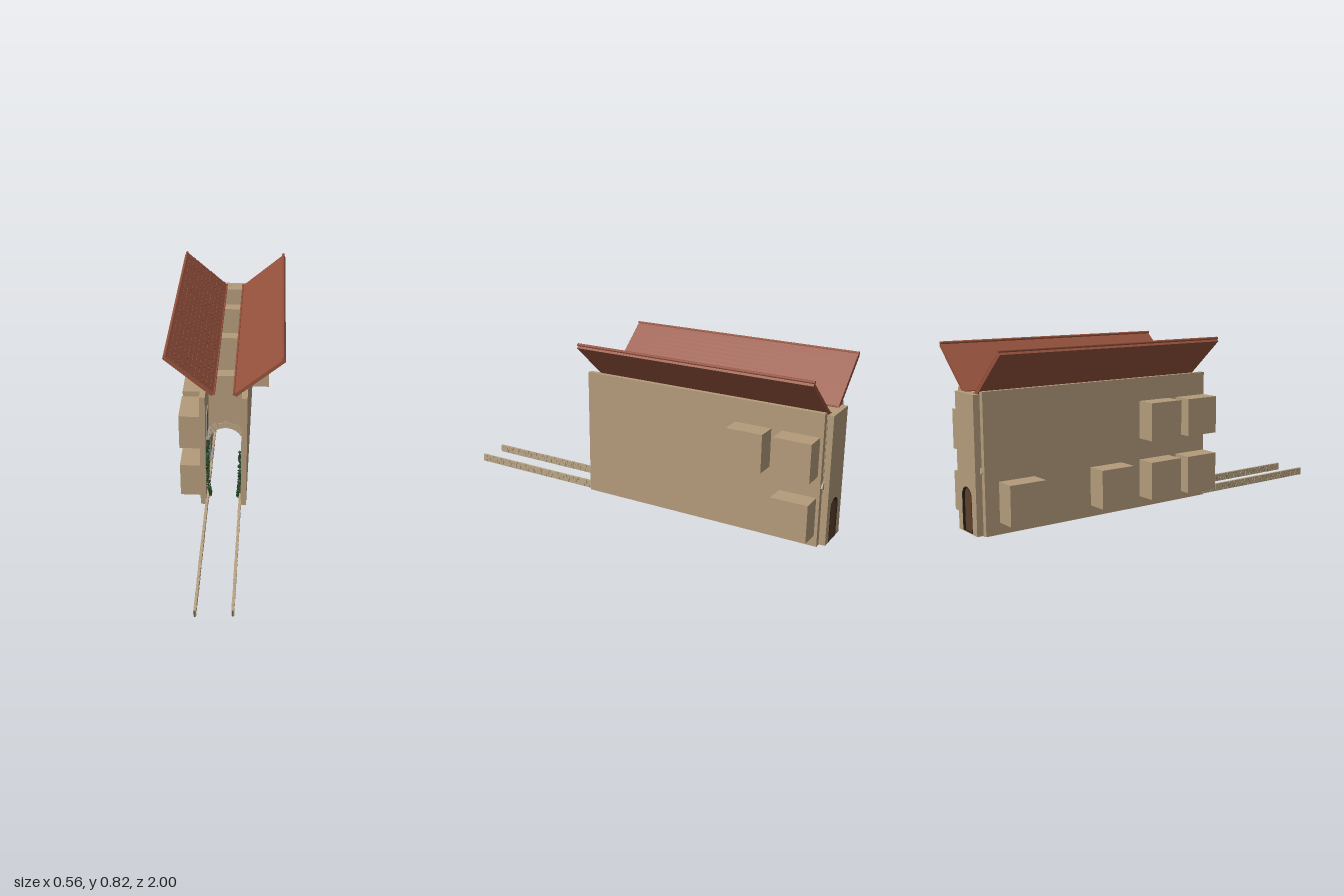
import * as THREE from 'three';
import { mergeGeometries } from 'three/addons/utils/BufferGeometryUtils.js';

const mat = (name, color, side = THREE.FrontSide) => {
  const m = new THREE.MeshStandardMaterial({ color, side });
  m.name = name;
  return m;
};

let seed = 7;
const rand = () => (seed = (seed * 16807) % 2147483647) / 2147483647;

// Box geometry already moved to its place
const boxGeo = (w, h, d, x, y, z) => new THREE.BoxGeometry(w, h, d).translate(x, y, z);

function add(parent, name, geometry, material) {
  const m = new THREE.Mesh(geometry, material);
  m.name = name;
  parent.add(m);
  return m;
}

// Round-headed outline used by the door and its opening
function archOutline(path, r, bottom, spring) {
  path.moveTo(-r, bottom);
  path.lineTo(r, bottom);
  path.lineTo(r, spring);
  path.absarc(0, spring, r, 0, Math.PI, false);
  path.lineTo(-r, bottom);
  return path;
}
const extrude = (shape, depth, z) =>
  new THREE.ExtrudeGeometry(shape, { depth, bevelEnabled: false, curveSegments: 20 }).translate(0, 0, z);

export function createModel() {
  const root = new THREE.Group();
  root.name = 'alley';
  const M = {
    plaster: mat('plaster', 0xb39b7a),
    stone: mat('stone', 0xb9a586),
    mortar: mat('mortar', 0x6b5d49),
    roof: mat('roofTile', 0x96523d),
    gap: mat('tileGap', 0x4a241b),
    wood: mat('doorWood', 0x5e3f2b),
    iron: mat('darkIron', 0x2e2219),
    trim: mat('windowTrim', 0x9b958d),
    glass: mat('paleGlass', 0xcfc9ba),
    leaf: mat('ivyLeaf', 0x1d3d1f, THREE.DoubleSide),
  };

  // Long side walls
  for (const s of [-1, 1])
    add(root, s < 0 ? 'rightWall' : 'leftWall', boxGeo(0.027, 0.625, 1.22, s * 0.0985, 0.3175, -0.36), M.plaster);

  // Window recess boxes outside, windows inside: [side, box centre z, box bottom y]
  const bays = [
    [1, -0.64, 0.34], [1, -0.867, 0.34], [1, -0.867, 0.058],
    [-1, -0.815, 0.058], [-1, -0.345, 0.058], [-1, -0.063, 0.058], [-1, 0.158, 0.058],
    [-1, -0.063, 0.34], [-1, 0.158, 0.34],
  ];
  for (const [s, z, y0] of bays) {
    const bay = new THREE.Group();
    bay.name = 'windowBay';
    root.add(bay);
    const y = y0 + 0.09;
    add(bay, 'bayBox', boxGeo(0.1, 0.18, 0.176, s * 0.16, y, z), M.plaster);
    const x = s * 0.084;
    add(bay, 'pane', boxGeo(0.003, 0.12, 0.066, x, y + 0.005, z), M.glass);
    add(bay, 'surround', mergeGeometries([
      boxGeo(0.008, 0.13, 0.01, x, y + 0.005, z - 0.038),
      boxGeo(0.008, 0.13, 0.01, x, y + 0.005, z + 0.038),
      boxGeo(0.008, 0.012, 0.086, x, y + 0.068, z),
      boxGeo(0.02, 0.009, 0.1, s * 0.08, y - 0.062, z),
    ]), M.trim);
    const bars = [boxGeo(0.006, 0.12, 0.006, x, y + 0.005, z)];
    for (const e of [-1, 1]) bars.push(boxGeo(0.006, 0.12, 0.006, x, y + 0.005, z + e * 0.03));
    for (const h of [-0.052, -0.016, 0.024, 0.06]) bars.push(boxGeo(0.006, 0.005, 0.066, x, y + h, z));
    add(bay, 'glazingBars', mergeGeometries(bars), M.wood);
  }

  // Back wall with a round-headed doorway
  const wall = new THREE.Shape();
  wall.moveTo(-0.087, 0.005);
  wall.lineTo(0.083, 0.005);
  wall.lineTo(0.083, 0.617);
  wall.lineTo(-0.087, 0.617);
  wall.holes.push(archOutline(new THREE.Path(), 0.045, 0.008, 0.164));
  add(root, 'backWall', extrude(wall, 0.032, -1), M.plaster);

  // Door: frame, planks, straps
  const door = new THREE.Group();
  door.name = 'door';
  root.add(door);
  const frame = archOutline(new THREE.Shape(), 0.046, 0.008, 0.164);
  frame.holes.push(archOutline(new THREE.Path(), 0.04, 0.009, 0.164));
  add(door, 'doorFrame', extrude(frame, 0.036, -1.0), M.iron);
  add(door, 'doorPanel', extrude(archOutline(new THREE.Shape(), 0.041, 0.008, 0.164), 0.012, -0.99), M.wood);
  const seams = [];
  for (const x of [-0.025, -0.009, 0.009, 0.025]) {
    const top = 0.164 + Math.sqrt(0.04 ** 2 - x * x);
    seams.push(boxGeo(0.003, top - 0.01, 0.004, x, (top + 0.01) / 2, -0.978));
  }
  for (const y of [0.05, 0.14]) seams.push(boxGeo(0.08, 0.004, 0.006, 0, y, -0.977));
  add(door, 'doorSeamsAndStraps', mergeGeometries(seams), M.iron);

  // Cross arches spanning the alley, with stone rings
  const span = new THREE.Shape();
  span.moveTo(-0.086, 0.615);
  span.lineTo(-0.086, 0.23);
  span.absarc(0, 0.23, 0.086, Math.PI, 0, true);
  span.lineTo(0.086, 0.615);
  const count = 9, a0 = 0.45, step = (Math.PI - 2 * a0) / count;
  for (const z of [-0.945, -0.7, -0.375, 0]) {
    const arch = new THREE.Group();
    arch.name = 'crossArch';
    root.add(arch);
    add(arch, 'archWall', extrude(span, 0.056, z - 0.028), M.plaster);
    const stones = [];
    for (let i = 0; i < count; i++) {
      const a = a0 + i * step + 0.02, b = a + step - 0.04;
      const r = i % 2 ? 0.114 : 0.12, v = new THREE.Shape();
      v.absarc(0, 0.23, r, a, b, false);
      v.absarc(0, 0.23, 0.084, b, a, true);
      stones.push(extrude(v, 0.064, z - 0.032));
    }
    add(arch, 'archStones', mergeGeometries(stones), M.stone);
  }

  // Roof slopes rising outwards from the gap
  const slope = Math.atan2(0.195, 0.225), len = 0.295, zc = -0.39, depth = 1.165;
  for (const s of [-1, 1]) {
    const roof = new THREE.Group();
    roof.name = s < 0 ? 'rightRoof' : 'leftRoof';
    roof.position.set(s * 0.164, 0.706, zc);
    roof.rotation.z = s * slope;
    root.add(roof);
    add(roof, 'roofSlab', boxGeo(len, 0.017, depth, 0, 0, 0), M.roof);
    const rolls = [];
    for (const [e, r, y] of [[1, 0.007, 0.01], [-1, 0.005, 0.01]])
      rolls.push(new THREE.CylinderGeometry(r, r, depth + 0.005, 10).rotateX(Math.PI / 2).translate(s * e * len / 2, y, 0));
    add(roof, 'edgeRolls', mergeGeometries(rolls), M.roof);
    if (s > 0) continue;
    // Overlapping tile rows with dark joints
    const rows = [], gaps = [];
    for (let i = 0; i < 12; i++) {
      const x = -len / 2 + (i + 0.5) * len / 12;
      rows.push(new THREE.BoxGeometry(len / 12 + 0.004, 0.004, depth).rotateZ(-0.12).translate(x, 0.0105, 0));
      for (let k = 0; k < 26; k++) {
        const z = -depth / 2 + (k + 0.3 + 0.4 * rand()) * depth / 26;
        gaps.push(boxGeo(0.004, 0.003, 0.012 + rand() * 0.012, x + len / 24, 0.012, z));
      }
    }
    add(roof, 'tileRows', mergeGeometries(rows), M.roof);
    add(roof, 'tileJoints', mergeGeometries(gaps), M.gap);
  }

  // Low rubble kerbs running through and beyond the alley
  for (const s of [-1, 1]) {
    const kerb = new THREE.Group();
    kerb.name = s < 0 ? 'rightKerb' : 'leftKerb';
    root.add(kerb);
    const zEnd = s < 0 ? 1 : 0.99, stones = [];
    add(kerb, 'kerbMortar', boxGeo(0.008, 0.032, zEnd + 0.965, s * 0.081, 0.016, (zEnd - 0.965) / 2), M.mortar);
    for (let row = 0; row < 3; row++) {
      let z = zEnd;
      while (z > -0.965) {
        const l = Math.min(0.028 + rand() * 0.03, z + 0.97);
        stones.push(boxGeo(0.011 + rand() * 0.003, 0.0115, Math.max(l - 0.003, 0.001), s * 0.081, 0.0065 + row * 0.013, z - l / 2));
        z -= l;
      }
    }
    add(kerb, 'kerbStones', mergeGeometries(stones), M.stone);
  }

  // Ivy climbing the inner wall faces near the front
  for (const [s, top] of [[-1, 0.34], [1, 0.27]]) {
    const path = new THREE.CatmullRomCurve3([
      new THREE.Vector3(s * 0.069, 0.008, 0.17), new THREE.Vector3(s * 0.074, 0.06, 0.19),
      new THREE.Vector3(s * 0.077, top * 0.55, 0.225), new THREE.Vector3(s * 0.078, top * 0.9, 0.215),
      new THREE.Vector3(s * 0.078, top - 0.005, 0.17),
    ]);
    const leaves = [];
    for (let i = 0; i < 260; i++) {
      const t = Math.pow(rand(), 1.3), p = path.getPoint(t), w = 0.035 * (1 - t) + 0.016;
      leaves.push(new THREE.CircleGeometry(0.006 + rand() * 0.003, 4)
        .rotateX(rand() * 3).rotateY(rand() * 6)
        .translate(p.x + (rand() - 0.5) * 0.01, Math.max(p.y + (rand() - 0.5) * 0.02, 0.008), p.z + (rand() - 0.5) * w));
    }
    const ivy = new THREE.Group();
    ivy.name = 'ivy';
    root.add(ivy);
    add(ivy, 'ivyStem', new THREE.TubeGeometry(path, 24, 0.002, 5), M.wood);
    add(ivy, 'ivyLeaves', mergeGeometries(leaves), M.leaf);
  }

  // Wall lantern beside the door
  const lantern = new THREE.Group();
  lantern.name = 'lantern';
  lantern.position.set(0.057, 0, -0.955);
  root.add(lantern);
  add(lantern, 'bracket', mergeGeometries([
    boxGeo(0.011, 0.028, 0.008, 0, 0.247, -0.012), boxGeo(0.004, 0.004, 0.03, 0, 0.243, 0),
  ]), M.wood);
  add(lantern, 'lanternGlass', new THREE.CylinderGeometry(0.008, 0.005, 0.018, 6).translate(0, 0.219, 0.01), M.glass);
  add(lantern, 'lanternCaps', mergeGeometries([
    new THREE.ConeGeometry(0.011, 0.012, 6).translate(0, 0.234, 0.01),
    new THREE.CylinderGeometry(0.006, 0.002, 0.008, 6).translate(0, 0.206, 0.01),
  ]), M.iron);

  return root;
}
